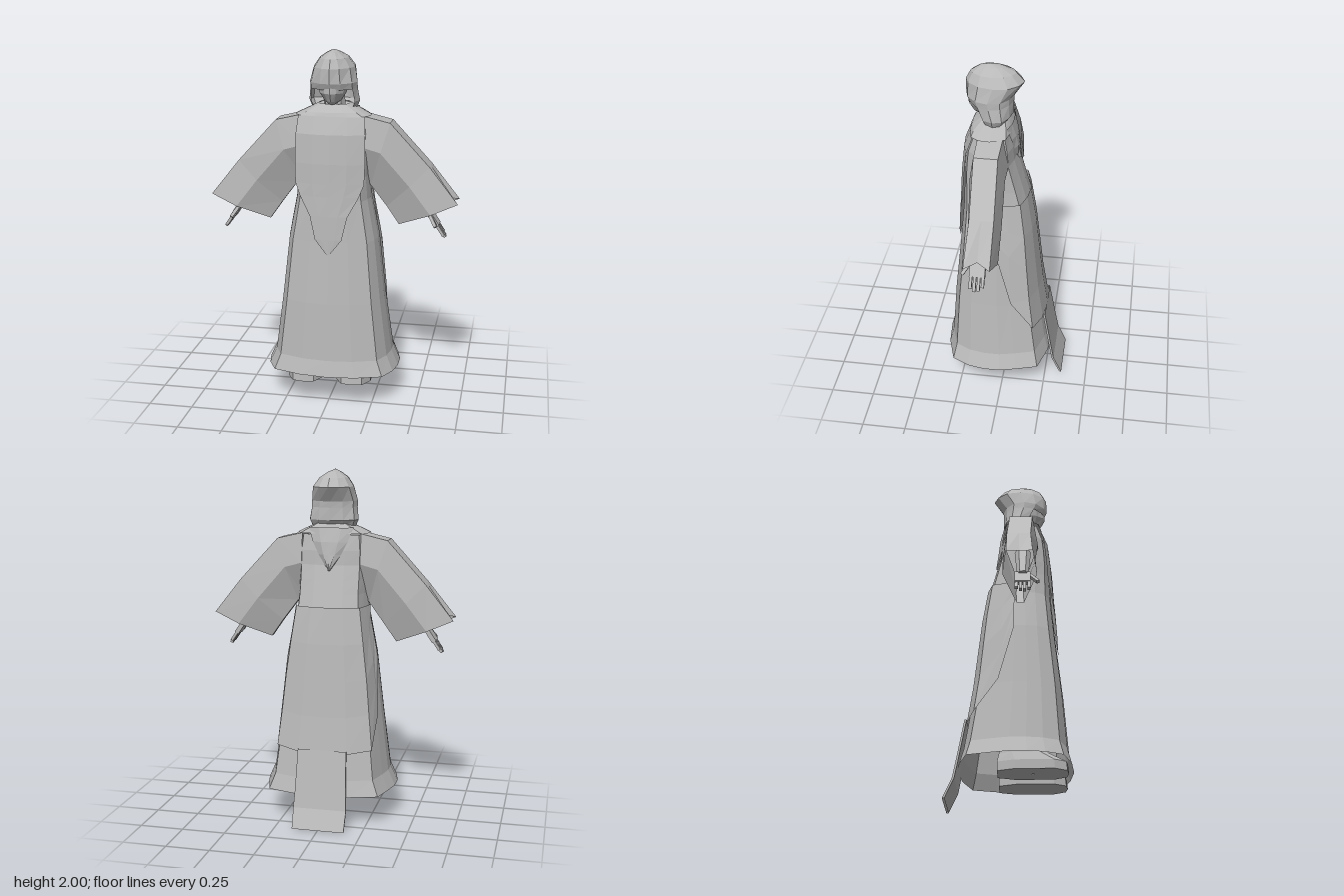
import * as THREE from 'three';

const cloth = new THREE.MeshStandardMaterial({ color: 0xb8b8b8, flatShading: true, side: THREE.DoubleSide });
cloth.name = 'grey cloth';

// Skin a list of cross-sections, each a list of [x, y, z] points
function loft(name, rings, closed = true) {
  const n = rings[0].length, index = [];
  for (let i = 0; i < rings.length - 1; i++) {
    for (let j = 0; j < (closed ? n : n - 1); j++) {
      const k = (j + 1) % n, a = i * n + j, b = i * n + k;
      index.push(a, b, b + n, a, b + n, a + n);
    }
  }
  const geo = new THREE.BufferGeometry();
  geo.setAttribute('position', new THREE.Float32BufferAttribute(rings.flat(2), 3));
  geo.setIndex(index);
  const flat = geo.toNonIndexed();
  flat.computeVertexNormals();
  const mesh = new THREE.Mesh(flat, cloth);
  mesh.name = name;
  return mesh;
}

const mirror = rings => rings.map(r => r.map(([x, y, z]) => [-x, y, z]).reverse());

// Half outlines from front to back, then completed to a full loop
const full = half => [...half, ...half.slice(1, -1).reverse().map(([x, z]) => [-x, z])];
const ROBE = full([[0, 1], [.42, .95], [.82, .8], [.95, .5], [1, .2], [1, -.1], [.94, -.4], [.84, -.8], [.42, -.95], [0, -1]]);
const HOOD = full([[0, 1], [.42, .88], [.85, .5], [1, 0], [.9, -.5], [.5, -.84], [0, -1]]);
const section = (outline, [y, w, front, back], grow = 0) =>
  outline.map(([x, z]) => [x * (w + grow), y, (front + back) / 2 + z * ((front - back) / 2 + grow)]);

// Height, half width, front z, back z
const robeRows = [
  [.18, .38, .352, -.28], [.27, .34, .328, -.255], [.6, .295, .303, -.2], [.95, .255, .266, -.16],
  [1.18, .21, .246, -.135], [1.31, .2, .24, -.098], [1.39, .2, .238, -.075], [1.47, .2, .23, -.052],
  [1.55, .2, .22, -.045], [1.64, .19, .185, -.025],
];
function robeAt(y) {
  let i = 0;
  while (i < robeRows.length - 2 && robeRows[i + 1][0] < y) i++;
  const a = robeRows[i], b = robeRows[i + 1], t = (y - a[0]) / (b[0] - a[0]);
  return a.map((v, k) => v + (b[k] - v) * t);
}

export function createModel() {
  const model = new THREE.Group();
  model.name = 'robedFigure';
  const add = mesh => model.add(mesh);
  const box = (name, w, h, d, x, y, z) => {
    const m = new THREE.Mesh(new THREE.BoxGeometry(w, h, d), cloth);
    m.name = name;
    m.position.set(x, y, z);
    return m;
  };

  add(loft('robe', robeRows.map(r => section(ROBE, r))));

  // Collar: shallow flange over the shoulders, dipping at the front
  add(loft('collar', [[1.645, .21, .2, -.035], [1.665, .17, .19, -.03], [1.705, .085, .14, -.01]]
    .map(r => section(ROBE, r))));

  // Front tabard tapering to a point: height, half width, centre z
  add(loft('tabard', [
    [.88, .004, .28], [.97, .075, .277], [1.1, .105, .27], [1.21, .165, .262],
    [1.28, .192, .258], [1.39, .195, .252], [1.55, .193, .235], [1.645, .185, .198],
  ].map(([y, w, z]) => [-1, -.5, 0, .5, 1].map(t => [t * w, y, z - .9 * t * t * w * w])), false));

  // Back cape over the skirt, with a stepped lower edge
  const hem = [.93, .62, .44, .42, .42, .42, .44, .62, .93];
  const capeRows = [0, .25, .5, .75, 1].map(t => hem.map((h, j) => {
    const y = h + (1.24 - h) * t;
    return section(ROBE, robeAt(y), .012)[j + 5];
  }));
  add(loft('backCape', capeRows, false));

  // Narrow train trailing to the ground
  const train = [[0, -.35, .15], [.11, -.3, .153], [.2, -.283, .148], [.44, -.24, .14]];
  add(loft('train', train.map(([y, z, w]) =>
    [[-w, y, z + .012], [w, y, z + .012], [w, y, z], [-w, y, z]])));

  // Hanging point of cloth below the hood at the back
  add(loft('backScarf', [[1.44, .006, -.075], [1.53, .065, -.062], [1.6, .1, -.052], [1.68, .13, -.03]]
    .map(([y, w, z]) => [[w, y, z + .02], [w * .5, y, z], [0, y, z - .003], [-w * .5, y, z], [-w, y, z + .02]]), false));

  // Hood: closed crown with a peak at the back, side curtains open at the front
  add(loft('hoodCrown', [
    [1.79, .132, .21, -.032], [1.825, .132, .226, -.035], [1.905, .115, .226, -.09],
    [1.955, .08, .2, -.045], [1.985, .035, .155, .02], [2, .002, .105, .095],
  ].map(r => section(HOOD, r))));
  add(loft('hoodCurtain', [[1.68, .125, .14, 0], [1.72, .142, .17, -.032], [1.79, .132, .21, -.032]]
    .map(r => section(HOOD, r).slice(2, 11)), false));

  // Masked face and neck
  add(loft('face', [
    [1.705, .015, .16, .12], [1.725, .045, .19, .04], [1.77, .075, .215, .02], [1.83, .09, .215, .02],
  ].map(r => section(HOOD, r))));
  const neck = new THREE.Mesh(new THREE.CylinderGeometry(.055, .065, .16, 8), cloth);
  neck.name = 'neck';
  neck.position.set(0, 1.71, .07);
  add(neck);

  // Sleeve section: flat top with two corners, bulging sides, single lower edge
  const sleeveSection = ([tx, ty], [bx, by], zf, zb, bulge, notch = 0) => {
    const mx = tx + (bx - tx) * .45, my = ty + (by - ty) * .45, zm = (zf + zb) / 2;
    return [[tx - notch, ty + notch * .5, zm], [tx, ty, zf], [mx, my, zf + bulge],
      [bx, by, zm + .02], [bx, by, zm - .02], [mx, my, zb - bulge], [tx, ty, zb]];
  };
  const sleeve = [
    sleeveSection([.17, 1.645], [.17, 1.27], .14, .005, .03),
    sleeveSection([.32, 1.61], [.21, 1.25], .14, .01, .03),
    sleeveSection([.54, 1.37], [.3, 1.13], .13, 0, .025),
    sleeveSection([.7, 1.17], [.37, 1.03], .14, 0, .022, .04),
  ];
  add(loft('leftSleeve', sleeve));
  add(loft('rightSleeve', mirror(sleeve)));

  // Boots: eight-sided sole, narrowing to the ankle and leg
  const bootOutline = full([[0, 1], [.6, .95], [1, .6], [1, -.5], [.65, -1], [0, -1]]);
  const boot = [[.13, .002, .14, .12], [.13, .1, .32, -.06], [.18, .1, .315, -.06], [.23, .08, .22, -.05],
    [.32, .065, .13, -.03], [.6, .07, .13, -.02]]
    .map(r => section(bootOutline, r).map(([x, y, z]) => [x + .14, y, z]));
  add(loft('leftBoot', boot));
  add(loft('rightBoot', mirror(boot)));

  // Forearms and hands, hanging out of the sleeves
  for (const s of [1, -1]) {
    const hand = new THREE.Group();
    hand.name = s > 0 ? 'leftHand' : 'rightHand';
    hand.position.set(s * .53, 1.125, .085);
    hand.rotation.z = s * .588;
    const arm = new THREE.Mesh(new THREE.CylinderGeometry(.045, .03, .26, 6), cloth);
    arm.name = 'forearm';
    arm.position.y = .11;
    hand.add(arm, box('palm', .026, .1, .085, 0, -.055, 0));
    [.17, .185, .18, .16].forEach((length, i) => {
      const z = .033 - i * .022;
      hand.add(box('finger', .016, length - .1, .016, 0, -(length + .1) / 2, z));
    });
    const thumb = box('thumb', .018, .085, .018, 0, -.06, .06);
    thumb.rotation.x = -.55;
    hand.add(thumb);
    add(hand);
  }
  return model;
}
